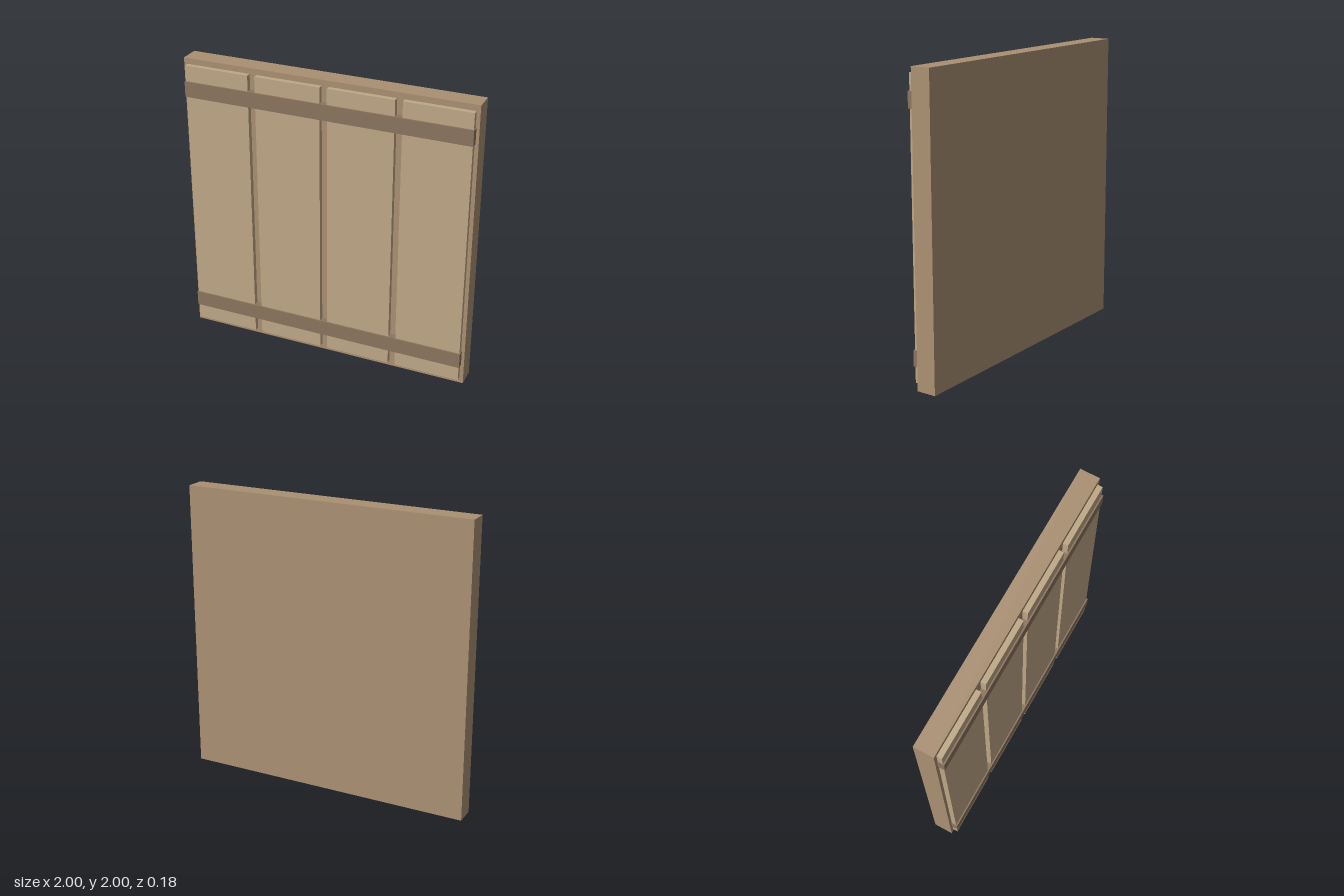
import * as THREE from 'three';

const material = (color) => new THREE.MeshStandardMaterial({ color, flatShading: true });

// Box given by its minimum and maximum corners
function block(name, min, max, mat) {
  const size = max.map((v, i) => v - min[i]);
  const mesh = new THREE.Mesh(new THREE.BoxGeometry(...size), mat);
  mesh.position.set(...max.map((v, i) => (v + min[i]) / 2));
  mesh.name = name;
  return mesh;
}

export function createModel() {
  const model = new THREE.Group();
  model.name = 'plankPanel';
  const panelWood = material(0xaa9072);
  const plankWood = material(0xbfa887);
  const battenWood = material(0x8b755f);
  const panelFront = 0.045;

  // Thick backing panel
  model.add(block('backPanel', [-1, 0, -0.09], [1, 2, panelFront], panelWood));

  // Four upright planks with narrow gaps
  for (let i = 0; i < 4; i++) {
    const x = -0.75 + i * 0.5;
    model.add(block(`plank${i + 1}`, [x - 0.225, 0.04, panelFront], [x + 0.225, 1.96, 0.08], plankWood));
  }

  // Horizontal battens across the planks
  for (const [name, y] of [['lowerBatten', 0.2], ['upperBatten', 1.8]]) {
    model.add(block(name, [-0.98, y - 0.053, panelFront], [0.98, y + 0.053, 0.09], battenWood));
  }
  return model;
}
